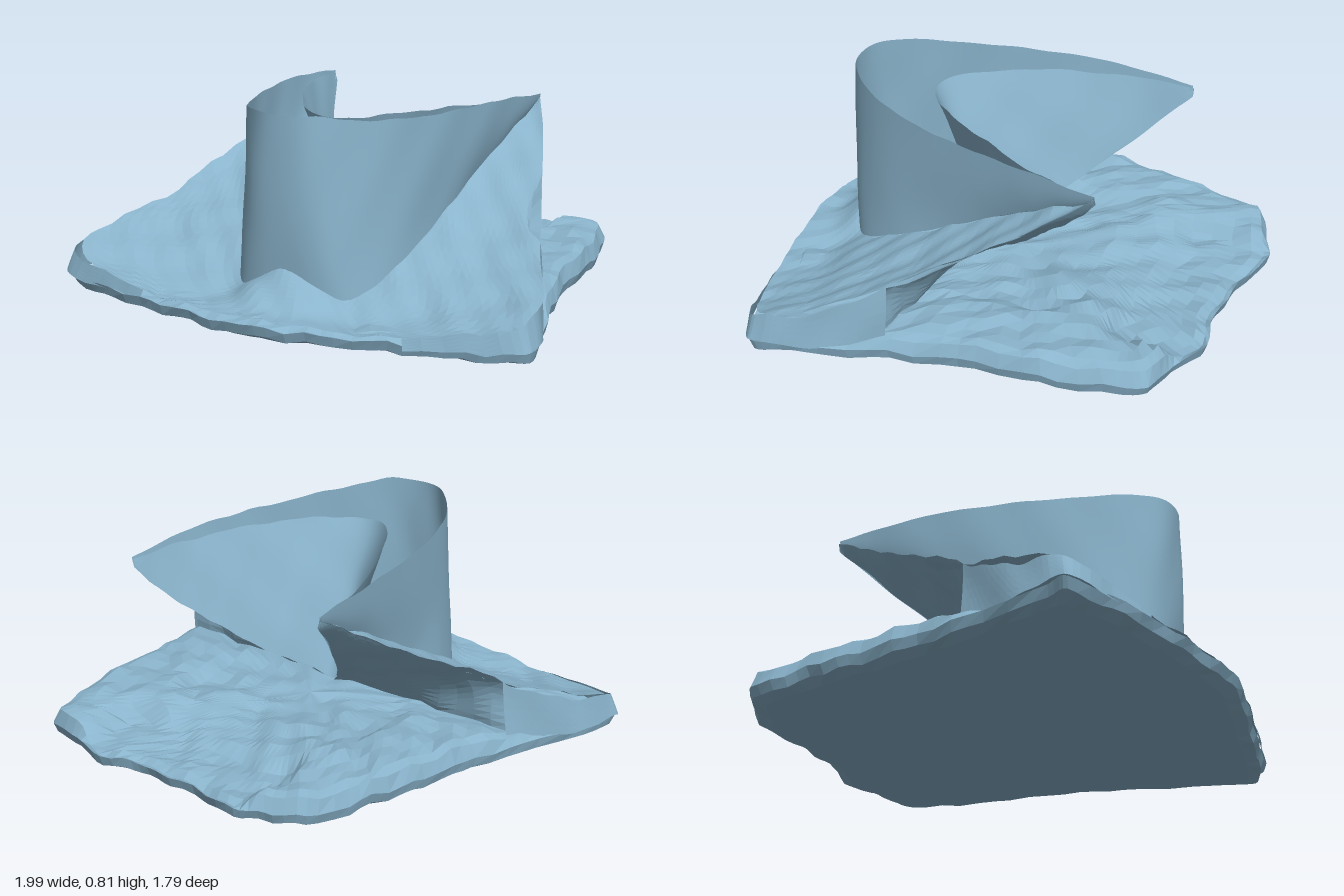
import * as THREE from 'three';

// Deterministic cloth wrinkle, the same for any two points that coincide, so seams stay closed
function wrinkle(p, amount) {
  const { x, y, z } = p;
  p.y += amount * (Math.sin(17 * x + 9 * z) * Math.cos(21 * z - 6 * x) + 0.6 * Math.sin(37 * x - 29 * z + 11 * y));
  p.x += amount * 0.6 * Math.sin(23 * z + 15 * y);
  p.z += amount * 0.6 * Math.sin(25 * x - 13 * y);
  p.y = Math.max(p.y, 0);
  return p;
}

// Surface from a rule f(u, v) -> Vector3
function grid(nu, nv, f) {
  const pos = [], idx = [];
  for (let j = 0; j <= nv; j++) {
    for (let i = 0; i <= nu; i++) pos.push(...f(i / nu, j / nv).toArray());
  }
  for (let j = 0; j < nv; j++) {
    for (let i = 0; i < nu; i++) {
      const a = j * (nu + 1) + i, b = a + 1, c = a + nu + 1, d = c + 1;
      idx.push(a, b, d, a, d, c);
    }
  }
  const g = new THREE.BufferGeometry();
  g.setAttribute('position', new THREE.Float32BufferAttribute(pos, 3));
  g.setIndex(idx);
  g.computeVertexNormals();
  return g;
}

const curve = (pts, closed = false, tension = 0.5) =>
  new THREE.CatmullRomCurve3(pts.map((p) => new THREE.Vector3(...p)), closed, 'catmullrom', tension);

// Left half (tip to centre) continued to the right tip
const mirrored = (half) => [...half, ...half.slice(0, -1).reverse().map(([x, y, z]) => [-x, y, z])];

// Sheet spanned between two rails, optionally sagging in the middle
function sheet(railA, railB, nu, nv, amount, sag = 0) {
  const a = curve(railA), b = curve(railB);
  return grid(nu, nv, (u, v) => {
    const p = a.getPoint(u).lerp(b.getPoint(u), v);
    p.y -= sag * Math.sin(Math.PI * v) * Math.sin(Math.PI * u);
    return wrinkle(p, amount);
  });
}

export function createModel() {
  const group = new THREE.Group();
  const cloth = (flatShading) =>
    new THREE.MeshStandardMaterial({ color: 0x8ab4cc, side: THREE.DoubleSide, flatShading });
  const smooth = cloth(false), crumpled = cloth(true);
  const add = (name, geometry, material) => {
    const mesh = new THREE.Mesh(geometry, material);
    mesh.name = name;
    group.add(mesh);
  };

  // Rails, each running from the left tip to the front centre
  const rim = [[0.47, 0.71, -0.51], [0.45, 0.75, -0.15], [0.38, 0.76, 0.2], [0.27, 0.78, 0.48], [0.13, 0.81, 0.65], [0, 0.81, 0.69]];
  const waist = [[0.46, 0.68, -0.5], [0.41, 0.52, -0.16], [0.37, 0.36, 0.14], [0.33, 0.23, 0.4], [0.22, 0.13, 0.61], [0, 0.23, 0.67]];
  const foot = [[0.47, 0.7, -0.51], [0.64, 0.5, -0.17], [0.79, 0.32, 0.17], [0.96, 0.18, 0.6], [0.55, 0.1, 0.79], [0, 0.1, 0.87]];

  // Standing collar: straight above, tucked in near its lower edge
  const rimCurve = curve(mirrored(rim)), waistCurve = curve(mirrored(waist));
  add('collar', grid(72, 14, (u, v) => {
    const top = rimCurve.getPoint(u), low = waistCurve.getPoint(u);
    const p = top.clone().lerp(low, v);
    const tuck = v * v * v;
    p.x = THREE.MathUtils.lerp(top.x, low.x, 0.5 * v + 0.5 * tuck);
    p.z = THREE.MathUtils.lerp(top.z, low.z, tuck);
    return wrinkle(p, 0.003);
  }), smooth);

  // Lining inside the collar, leaning back as it goes down
  const liningTop = [[0.47, 0.7, -0.51], [0.42, 0.72, -0.25], [0.3, 0.74, 0.03], [0.14, 0.74, 0.28], [0, 0.74, 0.36]];
  const underEdge = [[0.46, 0.67, -0.51], [0.4, 0.53, -0.38], [0.31, 0.4, -0.23], [0.18, 0.26, -0.06], [0, 0.14, 0.13]];
  add('collarLining', sheet(mirrored(liningTop), mirrored(underEdge), 56, 12, 0.004), smooth);

  // Sloping cloth around the collar
  add('shoulderCloth', sheet(mirrored(waist), mirrored(foot), 84, 16, 0.007, 0.04), crumpled);

  // Each raised shoulder: its underside, and the folded side that carries it down to the ground layer
  const backEdge = [[0.47, 0.7, -0.51], [0.56, 0.59, -0.33], [0.64, 0.5, -0.17], [0.79, 0.32, 0.17], [0.81, 0.12, 0.2]];
  const sideTop = [[0.79, 0.32, 0.17], [0.86, 0.25, 0.31], [0.93, 0.2, 0.46], [0.965, 0.18, 0.6], [0.91, 0.15, 0.69], [0.55, 0.1, 0.79]];
  const sideLow = [[0.81, 0.07, 0.18], [0.87, 0.07, 0.3], [0.95, 0.07, 0.47], [0.99, 0.08, 0.62], [0.94, 0.07, 0.7], [0.56, 0.06, 0.8]];
  for (const side of [1, -1]) {
    const flip = (rail) => rail.map(([x, y, z]) => [side * x, y, z]);
    const label = side > 0 ? 'left' : 'right';
    add(label + 'Underside', sheet(flip(backEdge), flip(underEdge), 28, 10, 0.008), crumpled);
    add(label + 'SideFold', sheet(flip(sideTop), flip(sideLow), 28, 5, 0.007), crumpled);
  }

  // Folded body lying on the ground: rings from the bottom centre, round the edge, to the top centre
  const outline = curve([
    [0, 0, 0.9], [0.25, 0, 0.86], [0.5, 0, 0.8], [0.78, 0, 0.74], [0.98, 0, 0.67], [0.98, 0, 0.58], [0.86, 0, 0.22],
    [0.77, 0, -0.1], [0.74, 0, -0.42], [0.67, 0, -0.7], [0.62, 0, -0.81], [0.46, 0, -0.83], [0.32, 0, -0.9],
    [0.15, 0, -0.86], [0, 0, -0.85], [-0.2, 0, -0.86], [-0.39, 0, -0.9], [-0.5, 0, -0.84], [-0.64, 0, -0.78],
    [-0.7, 0, -0.55], [-0.75, 0, -0.3], [-0.79, 0, -0.05], [-0.86, 0, 0.22], [-0.97, 0, 0.58], [-0.98, 0, 0.66],
    [-0.78, 0, 0.75], [-0.5, 0, 0.82], [-0.25, 0, 0.87],
  ], true, 0.3);
  const bump = (x, z, cx, cz, r) => Math.exp(-((x - cx) ** 2 + (z - cz) ** 2) / (r * r));
  const ramp = THREE.MathUtils.smoothstep;
  const bodyTop = (x, z) => {
    const ax = Math.abs(x);
    let h = 0.11 + 0.035 * ramp(ax, 0.38, 0.48) * ramp(-z, -0.3, 0); // thicker folded sides
    h -= 0.03 * ramp(-z, 0.5, 0.6) * ramp(0.48 - ax, 0, 0.1); // flat back panel
    h -= 0.03 * ramp(z, 0.25, 0.4); // tucked beneath the shoulder cloth
    h += 0.08 * bump(x, z, 0, 0.54, 0.14); // bunch under the collar
    h += 0.05 * bump(ax, z, 0.36, -0.44, 0.11); // folds beside the panel
    h += 0.04 * bump(ax, z, 0.2, -0.3, 0.1);
    return h;
  };
  const lower = [[0, 0.012], [0.5, 0.012], [0.93, 0.015], [0.985, 0.035], [1, 0.075]];
  const upper = [0.975, 0.93, 0.86, 0.78, 0.7, 0.62, 0.54, 0.46, 0.38, 0.3, 0.2, 0.1, 0];
  const rings = lower.length + upper.length - 1;
  add('foldedBody', grid(112, rings, (u, v) => {
    const k = Math.round(v * rings);
    const p = outline.getPoint(u % 1);
    if (k < lower.length) {
      p.multiplyScalar(lower[k][0]);
      p.y = lower[k][1];
      return wrinkle(p, k < 3 ? 0.004 : 0.008);
    }
    p.multiplyScalar(upper[k - lower.length]);
    p.y = bodyTop(p.x, p.z) - (k === lower.length ? 0.015 : 0);
    return wrinkle(p, 0.01);
  }), crumpled);

  return group;
}
